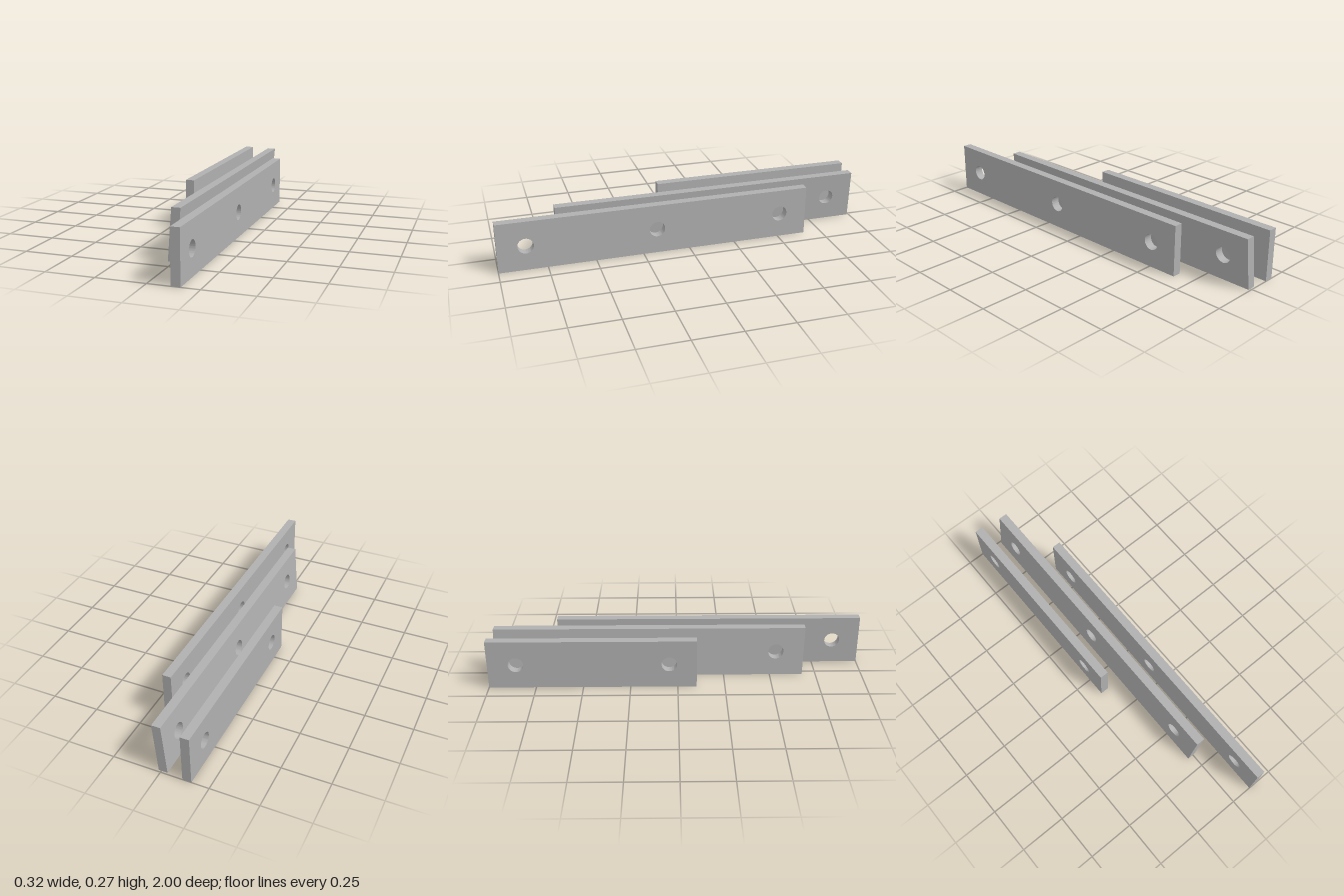
import * as THREE from 'three';
import { toCreasedNormals } from 'three/addons/utils/BufferGeometryUtils.js';

const HEIGHT = 0.267, THICKNESS = 0.046, HOLE_RADIUS = 0.041;

// Flat bar running along z, drilled through its thickness, optionally leaning
function makePlate(name, material, { x, zMin, zMax, holes, leanX = 0, leanZ = 0 }) {
  // The outline is drawn in (-z, y) and extruded towards +x
  const shape = new THREE.Shape();
  shape.moveTo(-zMax, 0);
  shape.lineTo(-zMin, 0);
  shape.lineTo(-zMin, HEIGHT);
  shape.lineTo(-zMax, HEIGHT);
  shape.closePath();
  for (const z of holes) {
    shape.holes.push(new THREE.Path().absarc(-z, HEIGHT / 2, HOLE_RADIUS, 0, Math.PI * 2, true));
  }
  let geometry = new THREE.ExtrudeGeometry(shape, {
    depth: THICKNESS, bevelEnabled: false, curveSegments: 24,
  });
  geometry.rotateY(Math.PI / 2);

  // Lean: slide each level sideways in proportion to its height
  const p = geometry.attributes.position;
  for (let i = 0; i < p.count; i++) {
    p.setX(i, p.getX(i) + x + leanX * p.getY(i) / HEIGHT);
    p.setZ(i, p.getZ(i) + leanZ * p.getY(i) / HEIGHT);
  }
  geometry = toCreasedNormals(geometry, 0.6);
  const mesh = new THREE.Mesh(geometry, material);
  mesh.name = name;
  return mesh;
}

export function createModel() {
  const group = new THREE.Group();
  group.name = 'drilledPlates';
  const steel = new THREE.MeshStandardMaterial({ color: 0xb0b0b0 });
  steel.name = 'grey steel';

  group.add(
    // Long upright plate
    makePlate('leftPlate', steel, { x: 0.113, zMin: -0.655, zMax: 1, holes: [-0.505, 0.175, 0.855] }),
    // Long leaning plate
    makePlate('middlePlate', steel, {
      x: -0.032, zMin: -0.99, zMax: 0.677, holes: [-0.845, -0.16, 0.527], leanX: 0.024, leanZ: 0.007,
    }),
    // Short upright plate
    makePlate('rightPlate', steel, { x: -0.16, zMin: -1, zMax: 0.1, holes: [-0.85, -0.045] }),
  );
  return group;
}
